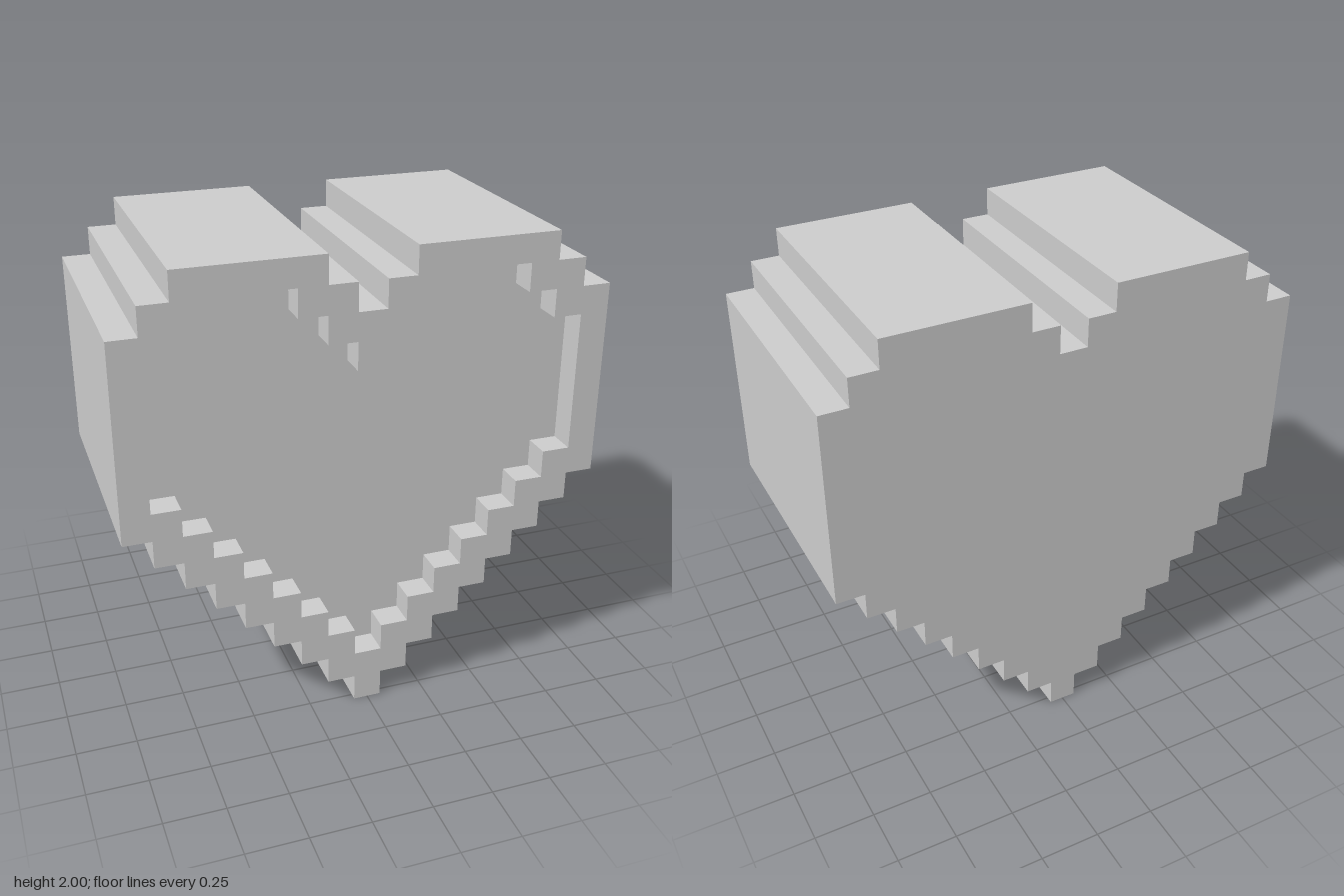
import * as THREE from 'three';

const U = 2 / 17;          // one pixel of the 17 x 17 heart
const HALF = 4.5 * U;      // half the thickness
const FLOOR = HALF - U;    // the front is recessed by one pixel

// Stepped, symmetric outline (counter-clockwise): a staircase of
// `stairs` pixels from y0, then uprights given as [x, end height].
function heartOutline(y0, stairs, uprights) {
  const right = [];
  let y = y0;
  const upright = (x, end) => {
    right.push([x, y], [x, end]);
    y = end;
  };
  for (let i = 0; i < stairs; i++) upright(i + 0.5, y + 1);
  uprights.forEach(([x, end]) => upright(x, end));
  const left = right.map(([x, h]) => [-x, h]).reverse();
  return [...right, ...left].map(([x, h]) => new THREE.Vector2(x * U, h * U));
}

// Flat strip of walls along a closed outline, facing outward if counter-clockwise
function wallGeometry(points, z0, z1) {
  const pos = [];
  points.forEach((p, i) => {
    const q = points[(i + 1) % points.length];
    pos.push(p.x, p.y, z0, q.x, q.y, z0, q.x, q.y, z1);
    pos.push(p.x, p.y, z0, q.x, q.y, z1, p.x, p.y, z1);
  });
  const geometry = new THREE.BufferGeometry();
  geometry.setAttribute('position', new THREE.Float32BufferAttribute(pos, 3));
  geometry.computeVertexNormals();
  return geometry;
}

export function createModel() {
  const group = new THREE.Group();
  group.name = 'pixelHeart';
  const material = new THREE.MeshStandardMaterial({ color: 0xcccccc, flatShading: true });
  const add = (name, geometry, z = 0) => {
    const mesh = new THREE.Mesh(geometry, material);
    mesh.name = name;
    mesh.position.z = z;
    group.add(mesh);
    return mesh;
  };

  const outer = heartOutline(0, 8, [[8.5, 15], [7.5, 16], [6.5, 17], [1.5, 16], [0.5, 15]]);
  const inner = heartOutline(2, 7, [[7.5, 14], [6.5, 15], [5.5, 16], [2.5, 15], [1.5, 14], [0.5, 13]]);

  // Front rim with the heart-shaped opening
  const rim = new THREE.Shape(outer);
  rim.holes.push(new THREE.Path(inner));
  add('frontRim', new THREE.ShapeGeometry(rim), HALF);

  // Recessed front panel and the walls around it
  add('recessedPanel', new THREE.ShapeGeometry(new THREE.Shape(inner)), FLOOR);
  add('recessWalls', wallGeometry([...inner].reverse(), FLOOR, HALF));

  // Outer sides and flat back
  add('outerWalls', wallGeometry(outer, -HALF, HALF));
  add('backPanel', new THREE.ShapeGeometry(new THREE.Shape(outer)), -HALF).rotation.y = Math.PI;

  return group;
}
